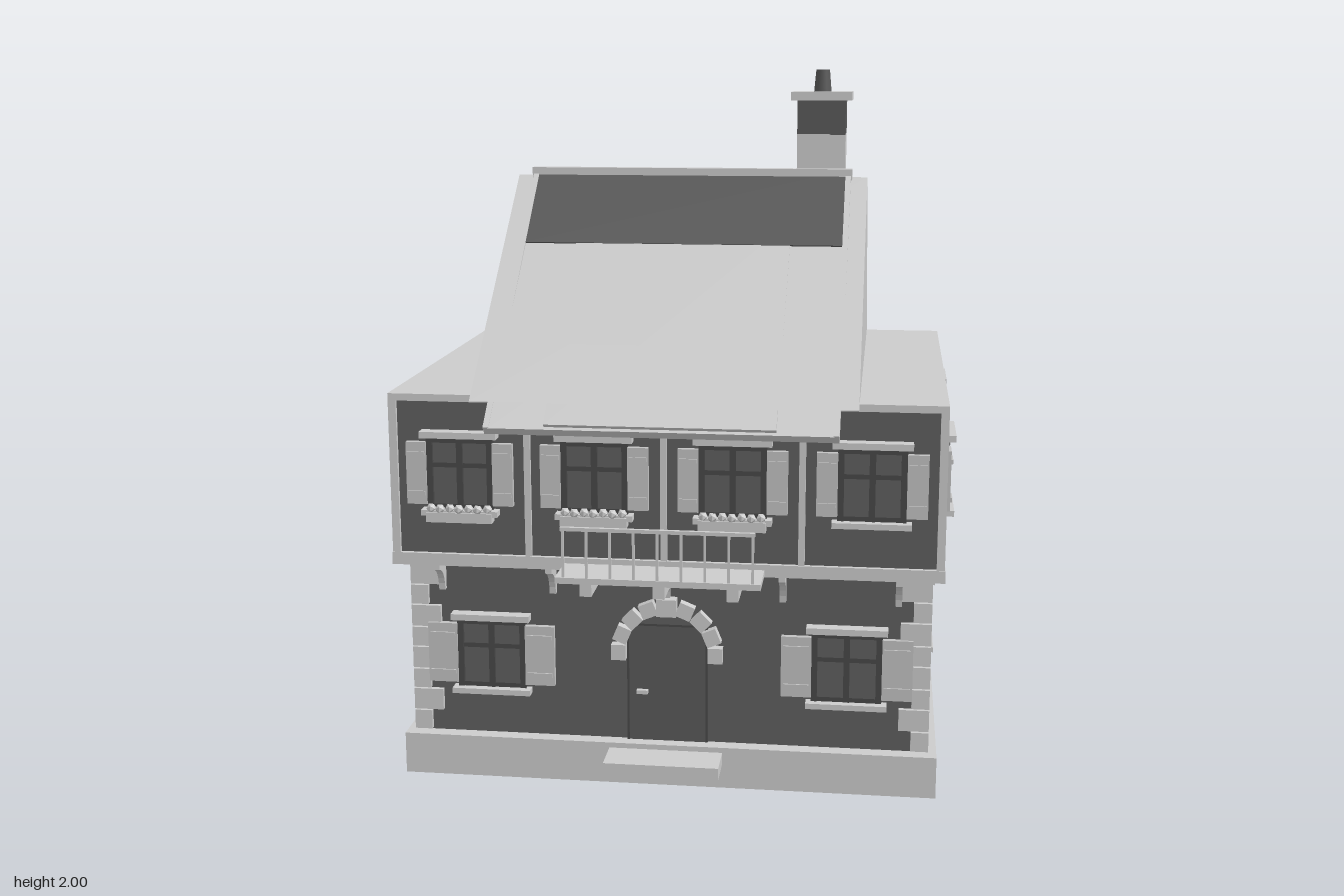
import * as THREE from 'three';

const material = (name, color) => {
  const m = new THREE.MeshStandardMaterial({ color });
  m.name = name;
  return m;
};

export function createModel() {
  const house = new THREE.Group();
  house.name = 'house';
  const light = material('light stone and timber', 0xcccccc);
  const wall = material('dark plaster', 0x5f5f5f);
  const slate = material('dark slate', 0x595959);
  const shutterMat = material('shutter paint', 0xc2c2c2);
  const frameMat = material('window frame', 0x484848);

  const ZC = -0.022; // middle of the house in z

  const add = (parent, name, geo, mat, x, y, z) => {
    const m = new THREE.Mesh(geo, mat);
    m.name = name;
    m.position.set(x, y, z);
    parent.add(m);
    return m;
  };
  const box = (parent, name, mat, w, h, d, x, y, z) =>
    add(parent, name, new THREE.BoxGeometry(w, h, d), mat, x, y, z);
  // box given by its limits
  const span = (name, mat, x0, x1, y0, y1, z0, z1) =>
    box(house, name, mat, x1 - x0, y1 - y0, z1 - z0, (x0 + x1) / 2, (y0 + y1) / 2, (z0 + z1) / 2);
  // slanted bar in the xy plane of its parent
  const brace = (parent, x0, y0, x1, y1, z) => {
    const b = box(parent, 'brace', light, 0.02, Math.hypot(x1 - x0, y1 - y0), 0.016, (x0 + x1) / 2, (y0 + y1) / 2, z);
    b.rotation.z = -Math.atan2(x1 - x0, y1 - y0);
  };
  const facing = (name, x, y, z, rotY) => {
    const g = new THREE.Group();
    g.name = name;
    g.position.set(x, y, z);
    g.rotation.y = rotY;
    house.add(g);
    return g;
  };

  // Plinth and the two storeys
  span('plinth', light, -0.76, 0.76, 0, 0.12, -0.62, 0.583);
  span('groundFloorWalls', wall, -0.722, 0.722, 0.12, 0.65, -0.585, 0.542);
  span('upperFloorWalls', wall, -0.754, 0.754, 0.645, 1.12, -0.655, 0.61);
  span('upperFloorCeiling', light, -0.765, 0.765, 1.108, 1.128, -0.666, 0.621);
  span('jettyBeam', light, -0.767, 0.767, 0.64, 0.675, -0.668, 0.623);

  // Corner posts and quoins
  for (const sx of [-1, 1]) {
    for (const [z, sz] of [[0.61, 1], [-0.655, -1]]) {
      box(house, 'cornerPost', light, 0.022, 0.45, 0.022, sx * 0.754, 0.89, z);
      for (let i = 0; i < 8; i++) {
        const w = i % 2 ? 0.085 : 0.05, d = i % 2 ? 0.05 : 0.085;
        const edgeZ = sz > 0 ? 0.556 : -0.599;
        box(house, 'quoin', light, w, i % 2 ? 0.062 : 0.056, d,
          sx * (0.737 - w / 2), 0.153 + i * 0.063, edgeZ - sz * d / 2);
      }
    }
  }

  // Timber framing: front and back posts, V braces on the back
  const back = facing('backFraming', 0, 0, -0.658, Math.PI);
  for (const x of [-0.378, 0, 0.378]) {
    box(house, 'frontPost', light, 0.018, 0.45, 0.016, x, 0.89, 0.612);
    box(back, 'backPost', light, 0.018, 0.45, 0.016, x, 0.89, 0);
  }
  for (const x of [-0.566, -0.189, 0.189, 0.566])
    for (const s of [-1, 1]) brace(back, x + s * 0.02, 0.77, x + s * 0.125, 1.04, 0);

  // Window with frame, lintel, sill and shutters
  const addWindow = (x, y, z, rotY, w, h, sw, flowers) => {
    const g = facing('window', x, y, z, rotY);
    box(g, 'glass', wall, w, h, 0.008, 0, 0, 0.004);
    for (const s of [-1, 0, 1]) {
      box(g, 'upright', frameMat, 0.017, h, 0.018, s * (w / 2 - 0.008), 0, 0.009);
      box(g, 'rail', frameMat, w, 0.013, 0.016, 0, s ? s * (h / 2 - 0.007) : h * 0.12, 0.009);
    }
    box(g, 'lintel', light, w + 0.03, 0.018, 0.04, 0, h / 2 + 0.011, 0.016);
    box(g, 'sill', light, w + 0.03, 0.016, 0.04, 0, -h / 2 - 0.009, 0.016);
    for (const s of [-1, 1]) {
      const sx = s * (w + sw) / 2;
      box(g, 'shutter', shutterMat, sw, h * 0.88, 0.016, sx, 0, 0.014);
      for (const t of [-1, 1]) box(g, 'shutterBatten', shutterMat, sw * 0.85, 0.012, 0.006, sx, t * h * 0.28, 0.024);
    }
    if (flowers) {
      box(g, 'flowerBox', light, w, 0.028, 0.035, 0, -h / 2 - 0.02, 0.024);
      for (let i = 0; i < 7; i++)
        add(g, 'flower', new THREE.IcosahedronGeometry(0.014, 0), light, (i - 3) * w / 7, -h / 2 + 0.004, 0.03 + (i % 2) * 0.006);
    }
  };
  [-0.566, -0.19, 0.19, 0.566].forEach((x, i) => addWindow(x, 0.907, 0.61, 0, 0.185, 0.2, 0.057, i < 3));
  for (const s of [-1, 1]) {
    addWindow(s * 0.505, 0.363, 0.542, 0, 0.196, 0.2, 0.085);
    addWindow(s * 0.722, 0.367, ZC, s * Math.PI / 2, 0.2, 0.195, 0.074);
    addWindow(s * 0.754, 0.907, 0.405, s * Math.PI / 2, 0.165, 0.19, 0.066);
    addWindow(s * 0.754, 0.907, -0.44, s * Math.PI / 2, 0.165, 0.19, 0.066);

    // Side framing with an inverted V
    const side = facing('sideFraming', s * 0.757, 0, ZC, s * Math.PI / 2);
    for (const t of [-1, 1]) {
      box(side, 'sidePost', light, 0.018, 0.45, 0.016, t * 0.212, 0.89, 0);
      brace(side, t * 0.143, 0.765, t * 0.024, 1.035, 0);
    }
  }

  // Door, stone arch and step
  const archY = 0.378;
  span('door', slate, -0.11, 0.11, 0.12, 0.465, 0.535, 0.549);
  for (const x of [-0.112, 0.112]) span('doorJamb', frameMat, x - 0.003, x + 0.003, 0.12, 0.465, 0.535, 0.551);
  span('doorHead', frameMat, -0.112, 0.112, 0.462, 0.468, 0.535, 0.551);
  span('doorHandle', light, -0.087, -0.055, 0.262, 0.273, 0.545, 0.563);
  for (let i = 0; i < 9; i++) {
    const a = Math.PI * i / 8, r = 0.137;
    const key = i === 4;
    const v = box(house, 'archStone', light, key ? 0.056 : 0.045, key ? 0.05 : 0.042, key ? 0.05 : 0.036,
      r * Math.cos(a), archY + 0.008 + r * Math.sin(a), 0.552);
    v.rotation.z = a - Math.PI / 2;
  }
  span('doorStep', light, -0.163, 0.16, 0.07, 0.105, 0.57, 0.692);

  // Curved corbels under the jetty
  const corbel = new THREE.Shape();
  corbel.moveTo(0, 0);
  corbel.lineTo(0.07, 0);
  corbel.lineTo(0.07, -0.02);
  corbel.quadraticCurveTo(0.02, -0.03, 0.015, -0.095);
  corbel.lineTo(0, -0.095);
  const corbelGeo = new THREE.ExtrudeGeometry(corbel, { depth: 0.018, bevelEnabled: false, curveSegments: 6 });
  corbelGeo.translate(0, 0, -0.009);
  corbelGeo.rotateY(-Math.PI / 2);
  for (const x of [-0.645, -0.325, 0, 0.325, 0.645]) add(house, 'corbel', corbelGeo, light, x, 0.643, 0.541);

  // Balcony
  span('balconyFloor', light, -0.278, 0.278, 0.643, 0.66, 0.6, 0.755);
  for (const x of [-0.2, 0, 0.2]) span('balconyBracket', light, x - 0.016, x + 0.016, 0.598, 0.645, 0.6, 0.722);
  for (let i = 0; i < 9; i++)
    box(house, 'baluster', light, 0.007, 0.135, 0.007, -0.256 + i * 0.064, 0.725, 0.748);
  span('balconyRail', light, -0.262, 0.262, 0.79, 0.8, 0.743, 0.754);

  // Roof body with gables
  const gable = new THREE.Shape([
    new THREE.Vector2(-0.678, 1.118), new THREE.Vector2(0.678, 1.118), new THREE.Vector2(0, 1.686),
  ]);
  const gableGeo = new THREE.ExtrudeGeometry(gable, { depth: 1.054, bevelEnabled: false });
  gableGeo.translate(0, 0, -0.527);
  gableGeo.rotateY(Math.PI / 2);
  add(house, 'roofBody', gableGeo, light, 0, 0, ZC);

  // Roof slabs: (d, y) runs down the slope, t is the thickness below that line
  const slab = (name, mat, s, x0, x1, d0, y0, d1, y1, t) => {
    const len = Math.hypot(d1 - d0, y1 - y0), a = Math.atan2(y0 - y1, d1 - d0);
    const m = box(house, name, mat, x1 - x0, t, len, (x0 + x1) / 2,
      (y0 + y1) / 2 - Math.cos(a) * t / 2, ZC + s * ((d0 + d1) / 2 - Math.sin(a) * t / 2));
    m.rotation.x = s * a;
  };
  for (const s of [-1, 1]) {
    slab('roofSlab', light, s, -0.465, 0.465, 0, 1.698, 0.73, 1.056, 0.026);
    slab('roofCovering', light, s, -0.312, 0.312, 0.15, 1.568, 0.73, 1.07, 0.026);
    slab('slateBand', slate, s, -0.462, 0.462, 0, 1.705, 0.226, 1.505, 0.009);
    for (const x of [-0.47, 0.47]) slab('bargeBoard', light, s, x - 0.008, x + 0.008, 0, 1.708, 0.73, 1.058, 0.03);
  }
  span('ridgeBoard', light, -0.482, 0.482, 1.678, 1.71, ZC - 0.019, ZC + 0.019);

  // Chimney
  const cx = 0.38, cz = -0.283;
  box(house, 'chimneyShaft', light, 0.148, 0.5, 0.148, cx, 1.555, cz);
  box(house, 'chimneyTop', slate, 0.148, 0.105, 0.148, cx, 1.855, cz);
  box(house, 'chimneyCollar', light, 0.172, 0.027, 0.172, cx, 1.581, cz);
  box(house, 'chimneyCap', light, 0.186, 0.026, 0.186, cx, 1.92, cz);
  add(house, 'chimneyPot', new THREE.CylinderGeometry(0.021, 0.027, 0.067, 12), slate, cx, 1.9665, cz);

  return house;
}
